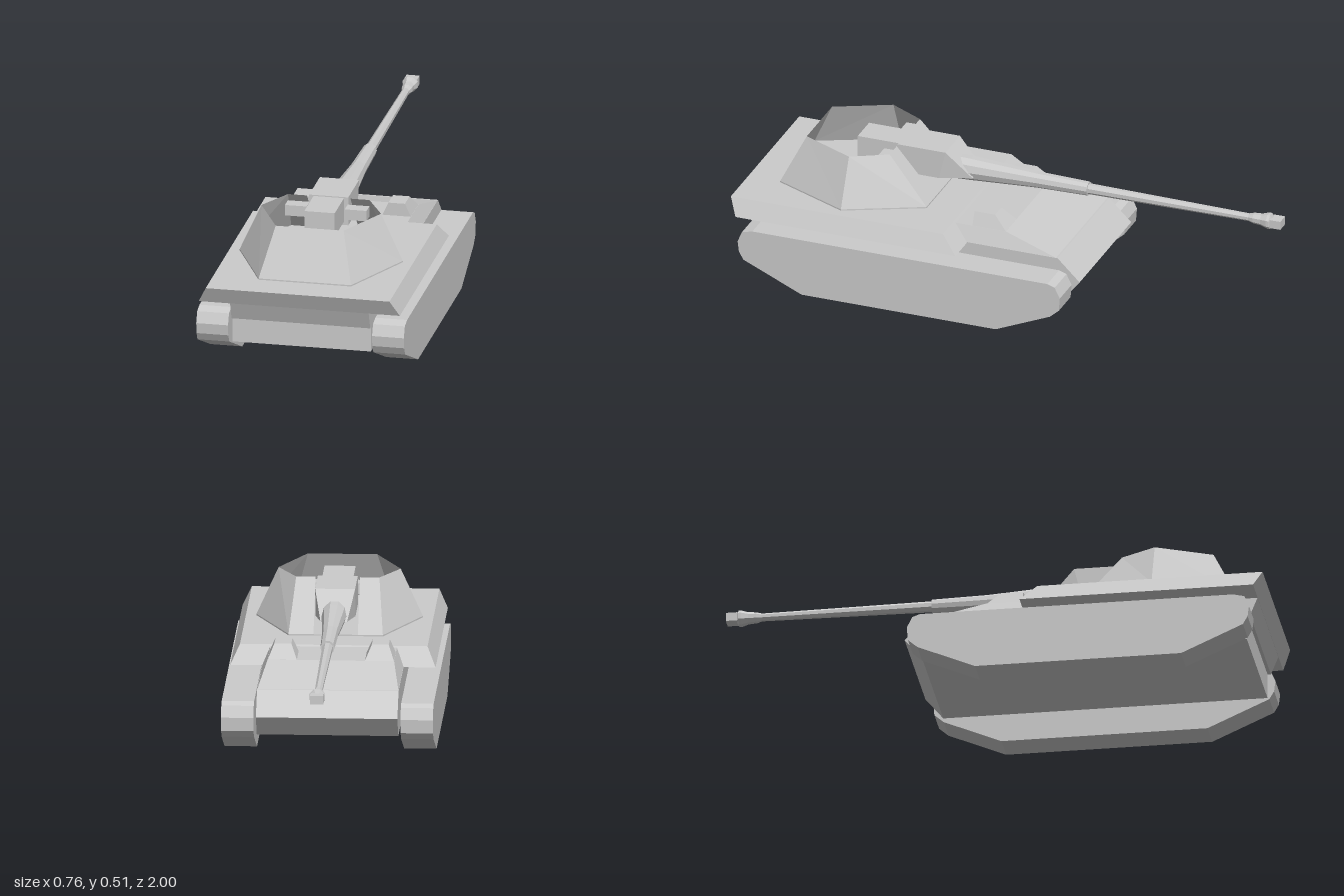
import * as THREE from 'three';
import { ConvexGeometry } from 'three/addons/geometries/ConvexGeometry.js';

const material = new THREE.MeshStandardMaterial({ color: 0xcccccc, flatShading: true });
const sheetMaterial = new THREE.MeshStandardMaterial({ color: 0xcccccc, flatShading: true, side: THREE.DoubleSide });

export function createModel() {
  const model = new THREE.Group();
  model.name = 'tank';

  const add = (name, geometry, mat = material, parent = model) => {
    const mesh = new THREE.Mesh(geometry, mat);
    mesh.name = name;
    parent.add(mesh);
    return mesh;
  };

  // Side profile of [z, y] points extruded across x, centred on x = cx
  const sideExtrude = (profile, width, cx = 0) => {
    const shape = new THREE.Shape(profile.map(([z, y]) => new THREE.Vector2(z, y)));
    return new THREE.ExtrudeGeometry(shape, { depth: width, bevelEnabled: false })
      .rotateY(-Math.PI / 2).translate(cx + width / 2, 0, 0);
  };

  // Convex block from rectangles [x0, x1, y, z0, z1] at different heights
  const block = (...levels) => new ConvexGeometry(levels.flatMap(([x0, x1, y, z0, z1]) => [
    new THREE.Vector3(x0, y, z0), new THREE.Vector3(x1, y, z0),
    new THREE.Vector3(x1, y, z1), new THREE.Vector3(x0, y, z1),
  ]));

  // Tracks
  const trackProfile = [
    [0.71, 0], [0.935, 0.1], [0.952, 0.13], [0.957, 0.17], [0.94, 0.21], [0.9, 0.22],
    [-0.24, 0.22], [-0.268, 0.21], [-0.288, 0.17], [-0.284, 0.12], [-0.25, 0.09], [-0.04, 0],
  ];
  for (const side of [1, -1]) {
    add(side > 0 ? 'leftTrack' : 'rightTrack', sideExtrude(trackProfile, 0.117, side * 0.3235));
  }

  // Hull: lower tub, sloping upper body and wide deck
  add('lowerHull', sideExtrude([
    [-0.23, 0.262], [-0.315, 0.18], [-0.25, 0.1], [0.93, 0.1], [0.93, 0.193], [0.942, 0.193], [0.97, 0.262],
  ], 0.51));
  add('upperHull', block([-0.255, 0.255, 0.26, -0.23, 0.5], [-0.228, 0.228, 0.318, -0.02, 0.5]));
  add('deck', block([-0.37, 0.37, 0.26, 0.12, 0.97], [-0.338, 0.338, 0.323, 0.18, 1]));

  // Raised hoods on the sloping plate
  for (const side of [1, -1]) {
    const hood = block([0.12, 0.23, 0.312, -0.025, 0.11], [0.145, 0.206, 0.366, 0.03, 0.11]);
    if (side < 0) hood.rotateY(Math.PI).translate(0, 0, 0.085).scale(1, 1, -1);
    // Restore the winding after the reflection
    if (side < 0) {
      hood.translate(0, 0, 0.085);
      const p = hood.attributes.position;
      for (let i = 0; i < p.count; i += 3) {
        const a = new THREE.Vector3().fromBufferAttribute(p, i);
        const b = new THREE.Vector3().fromBufferAttribute(p, i + 1);
        p.setXYZ(i, b.x, b.y, b.z);
        p.setXYZ(i + 1, a.x, a.y, a.z);
      }
      hood.computeVertexNormals();
    }
    add(side > 0 ? 'leftHood' : 'rightHood', hood);
  }

  // Open-topped turret: six leaning walls with a gap for the gun
  const turret = new THREE.Group();
  turret.name = 'turret';
  model.add(turret);
  const half = [ // base x, base z, top x, top z
    [0.08, 0.31, 0.08, 0.46], [0.17, 0.31, 0.15, 0.46],
    [0.3, 0.59, 0.22, 0.59], [0.17, 0.875, 0.125, 0.79],
  ];
  const ring = [...half, ...half.slice().reverse().map(([a, b, c, d]) => [-a, b, -c, d])];
  const corners = [];
  for (let i = 0; i < ring.length - 1; i++) {
    const [ax, az, atx, atz] = ring[i];
    const [bx, bz, btx, btz] = ring[i + 1];
    const a = [ax, 0.328, az], b = [bx, 0.328, bz], at = [atx, 0.503, atz], bt = [btx, 0.503, btz];
    corners.push(...a, ...bt, ...b, ...a, ...at, ...bt);
  }
  const walls = new THREE.BufferGeometry();
  walls.setAttribute('position', new THREE.Float32BufferAttribute(corners, 3));
  walls.computeVertexNormals();
  add('turretWalls', walls, sheetMaterial, turret);

  const floor = new THREE.Shape(ring.map(([x, z]) => new THREE.Vector2(x, -z)));
  add('turretFloor', new THREE.ExtrudeGeometry(floor, { depth: 0.006, bevelEnabled: false })
    .rotateX(-Math.PI / 2).translate(0, 0.322, 0), material, turret);

  // Gun shield, breech and side mounts
  const gun = new THREE.Group();
  gun.name = 'gun';
  model.add(gun);
  add('gunShield', block(
    [-0.072, 0.072, 0.507, 0.275, 0.46], [-0.048, 0.048, 0.41, 0.18, 0.2],
    [-0.072, 0.072, 0.4, 0.3, 0.46],
  ), material, gun);
  add('breech', new THREE.BoxGeometry(0.112, 0.09, 0.18).translate(0, 0.458, 0.53), material, gun);
  for (const side of [1, -1]) {
    add('gunMount', new THREE.BoxGeometry(0.08, 0.04, 0.05).translate(side * 0.11, 0.46, 0.487), material, gun);
  }

  // Barrel parts are turned around the gun axis, [radius, z]
  const turned = (profile, sides) => new THREE.LatheGeometry(
    profile.map(([r, z]) => new THREE.Vector2(r, -z)), sides)
    .rotateY(Math.PI / sides).rotateX(-Math.PI / 2).translate(0, 0.426, 0);
  add('barrelSleeve', turned([[0, 0.33], [0.05, 0.33], [0.045, 0.2], [0.03, -0.05], [0.026, -0.252], [0, -0.252]], 10),
    sheetMaterial, gun);
  add('barrel', turned([[0.02, -0.24], [0.014, -0.9]], 8), sheetMaterial, gun);
  add('muzzleBrake', turned([
    [0.014, -0.87], [0.02, -0.89], [0.022, -0.92], [0.03, -0.945], [0.03, -0.955], [0.016, -0.962],
  ], 8), sheetMaterial, gun);
  add('muzzle', new THREE.BoxGeometry(0.048, 0.032, 0.042).translate(0, 0.426, -0.979), material, gun);

  return model;
}
